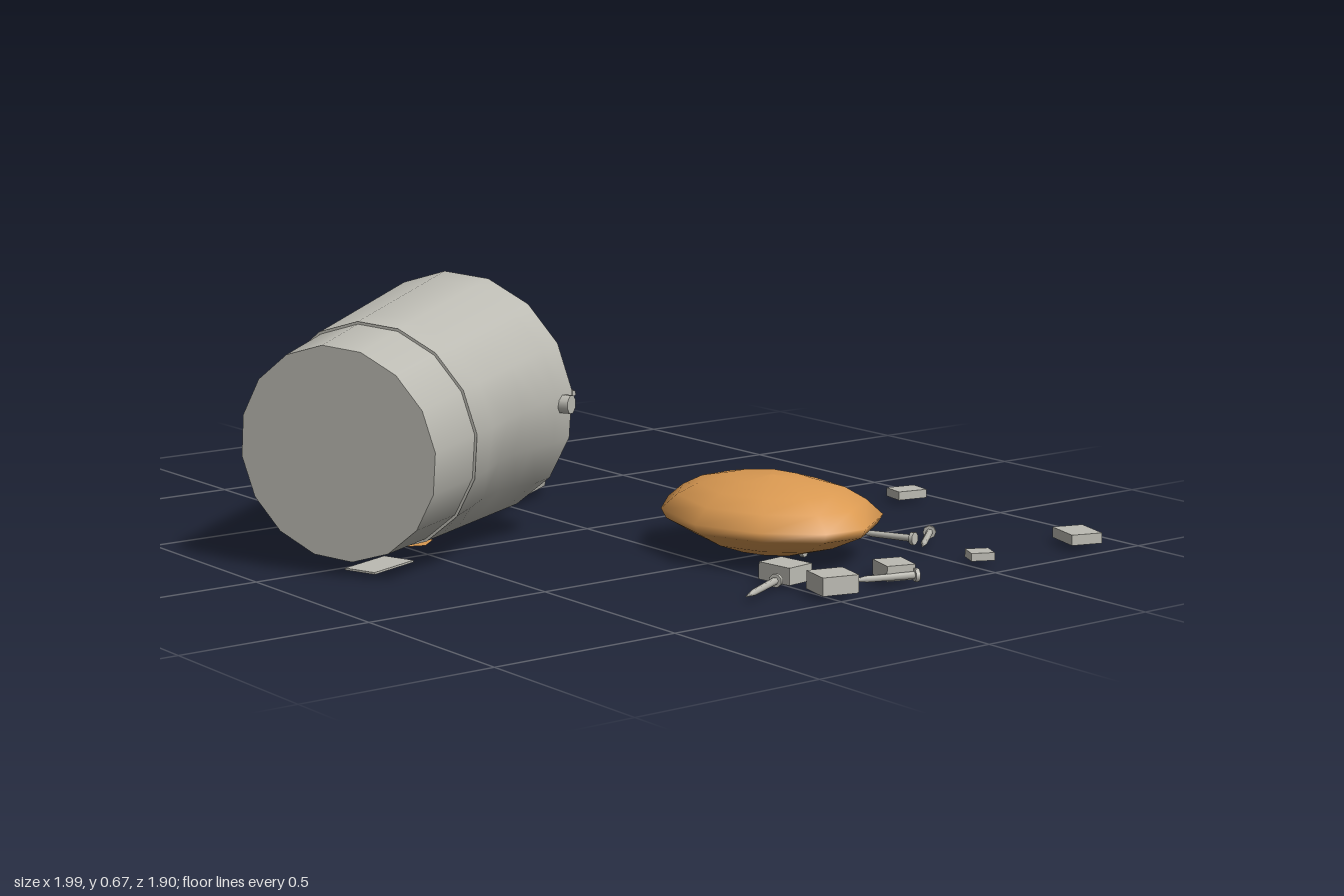
import * as THREE from 'three';

const V = (x, y, z) => new THREE.Vector3(x, y, z);
const UP = V(0, 1, 0);

export function createModel() {
  const root = new THREE.Group();
  root.name = 'spilledBucketScene';
  const metal = new THREE.MeshStandardMaterial({ color: 0xbcbbb3, side: THREE.DoubleSide });
  metal.name = 'grey metal';
  const orange = new THREE.MeshStandardMaterial({ color: 0xdb9a52, side: THREE.DoubleSide });
  orange.name = 'orange';

  const add = (parent, name, geo, mat, pos) => {
    const m = new THREE.Mesh(geo, mat);
    m.name = name;
    if (pos) m.position.copy(pos);
    parent.add(m);
    return m;
  };
  // Cylinder running from a to b
  const rod = (parent, name, a, b, ra, rb, sides) => {
    const d = b.clone().sub(a);
    const m = add(parent, name, new THREE.CylinderGeometry(rb, ra, d.length(), sides), metal,
      a.clone().add(b).multiplyScalar(0.5));
    m.quaternion.setFromUnitVectors(UP, d.normalize());
    return m;
  };

  // Bucket lying on its side: local y runs from the base to the open rim
  const base = V(0.092, 0.31, 0.822), rim = V(-0.213, 0.357, 0.25);
  const axis = rim.clone().sub(base), length = axis.length(), seam = 0.18;
  const bucket = new THREE.Group();
  bucket.name = 'bucket';
  bucket.position.copy(base);
  bucket.quaternion.setFromUnitVectors(UP, axis.normalize());
  root.add(bucket);
  bucket.updateMatrixWorld(true);

  add(bucket, 'bucketBase', new THREE.CircleGeometry(0.27, 16).rotateX(Math.PI / 2), metal);
  add(bucket, 'lowerWall', new THREE.CylinderGeometry(0.283, 0.27, seam, 16, 1, true), metal, V(0, seam / 2, 0));
  add(bucket, 'seamStep', new THREE.RingGeometry(0.28, 0.29, 16).rotateX(Math.PI / 2), metal, V(0, seam, 0));
  const wall = new THREE.CylinderGeometry(0.322, 0.289, length - seam, 16, 6, true);
  wall.translate(0, (length + seam) / 2, 0);
  // Shallow dent in the side wall
  const dent = bucket.worldToLocal(V(0.17, 0.2, 0.33));
  const p = wall.attributes.position, v = V(0, 0, 0);
  for (let i = 0; i < p.count; i++) {
    v.fromBufferAttribute(p, i);
    const k = Math.max(0, 1 - v.distanceTo(dent) / 0.2) * 0.12;
    p.setXYZ(i, v.x * (1 - k), v.y, v.z * (1 - k));
  }
  wall.computeVertexNormals();
  add(bucket, 'upperWall', wall, metal);

  // Handle lugs either side of the rim
  rod(root, 'leftLug', V(0.06, 0.36, 0.155), V(0.108, 0.36, 0.13), 0.025, 0.025, 8);
  rod(root, 'rightLug', V(-0.448, 0.355, 0.435), V(-0.495, 0.355, 0.46), 0.025, 0.025, 8);

  // Bent wire handle with a straight bar across the opening
  const handle = new THREE.Group();
  handle.name = 'handle';
  root.add(handle);
  const wire = [[0.025, 0.065], [-0.07, 0.035], [-0.19, 0.038], [-0.32, 0.09], [-0.41, 0.17],
    [-0.48, 0.28], [-0.497, 0.355], [-0.13, 0.185], [0.025, 0.065]].map(([x, z]) => V(x, 0.37, z));
  for (let i = 0; i < wire.length - 1; i++) rod(handle, 'handleWire', wire[i], wire[i + 1], 0.009, 0.009, 6);

  // Lid leaning on one edge, with a raised centre
  const lid = new THREE.Group();
  lid.name = 'lid';
  lid.position.set(-0.66, 0.11, 0.053);
  lid.rotation.z = -0.2;
  root.add(lid);
  add(lid, 'lidRim', new THREE.CylinderGeometry(0.34, 0.34, 0.055, 14), metal);
  add(lid, 'lidCentre', new THREE.CylinderGeometry(0.268, 0.268, 0.028, 12), metal, V(0, 0.04, 0));

  // Lumpy orange sack, lofted from its ten-sided outline
  const outline = [[0.195, -0.25], [0.31, -0.39], [0.505, -0.425], [0.70, -0.4], [0.805, -0.25],
    [0.795, -0.13], [0.69, -0.01], [0.515, 0.055], [0.31, 0], [0.2, -0.11]];
  const levels = [[0.018, 0.001], [0.018, 0.35], [0.045, 0.66], [0.085, 0.95], [0.11, 1],
    [0.148, 0.85], [0.178, 0.66], [0.198, 0.38], [0.206, 0.001]];
  const cx = 0.51, cz = -0.19, n = outline.length, pos = [], idx = [];
  levels.forEach(([y, s], j) => outline.forEach(([x, z], i) => {
    pos.push(cx + (x - cx) * s, y, cz + (z - cz) * s);
    if (j === 0) return;
    const a = (j - 1) * n + i, b = (j - 1) * n + (i + 1) % n;
    idx.push(a, a + n, b, b, a + n, b + n);
  }));
  const sack = new THREE.BufferGeometry();
  sack.setAttribute('position', new THREE.Float32BufferAttribute(pos, 3));
  sack.setIndex(idx);
  sack.computeVertexNormals();
  add(root, 'orangeSack', sack, orange);

  // Small orange splash under the bucket
  const splash = new THREE.Shape([[-0.07, 0], [-0.05, 0.045], [0, 0.035], [0.04, 0.055], [0.07, 0.01],
    [0.035, -0.03], [0, -0.06], [-0.04, -0.035]].map(([x, y]) => new THREE.Vector2(x, y)));
  add(root, 'splash', new THREE.ShapeGeometry(splash).rotateX(-Math.PI / 2), orange, V(-0.065, 0.026, 0.52))
    .rotation.x = 0.1;

  // Flat scrap under the bucket
  add(root, 'flatScrap', new THREE.BoxGeometry(0.09, 0.005, 0.16), metal, V(0.07, 0.014, 0.69)).rotation.y = 0.35;

  // Loose blocks: x, z, width, depth, bottom, top, turn
  [[0.232, -0.907, 0.066, 0.086, 0.012, 0.035, -0.2],
    [0.902, -0.88, 0.105, 0.085, 0.015, 0.042, -0.3],
    [0.905, -0.538, 0.055, 0.06, 0.015, 0.035, -0.45],
    [0.915, -0.243, 0.085, 0.075, 0.012, 0.05, -0.3],
    [0.78, -0.013, 0.1, 0.08, 0.012, 0.055, 0.13],
    [0.945, -0.02, 0.088, 0.095, 0.015, 0.06, -0.25],
  ].forEach(([x, z, w, d, y0, y1, turn]) => {
    add(root, 'block', new THREE.BoxGeometry(w, y1 - y0, d), metal, V(x, (y0 + y1) / 2, z)).rotation.y = turn;
  });

  // Nails: head x, z, tip x, z, height
  [[0.635, -0.62, 0.742, -0.495, 0.025], [0.675, -0.532, 0.515, -0.48, 0.025],
    [0.975, -0.268, 0.908, -0.105, 0.025], [0.812, 0.04, 0.886, 0.197, 0.025],
    [0.59, -0.24, 0.42, -0.17, 0.018],
  ].forEach(([hx, hz, tx, tz, y]) => {
    const nail = new THREE.Group();
    nail.name = 'nail';
    root.add(nail);
    const head = V(hx, y, hz), tip = V(tx, y - 0.004, tz);
    const at = (t) => head.clone().lerp(tip, t);
    rod(nail, 'nailHead', at(0), at(0.06), 0.017, 0.017, 8);
    rod(nail, 'nailShaft', at(0.06), at(0.75), 0.009, 0.008, 6);
    rod(nail, 'nailTip', at(0.75), at(1), 0.008, 0.001, 6);
  });

  return root;
}
